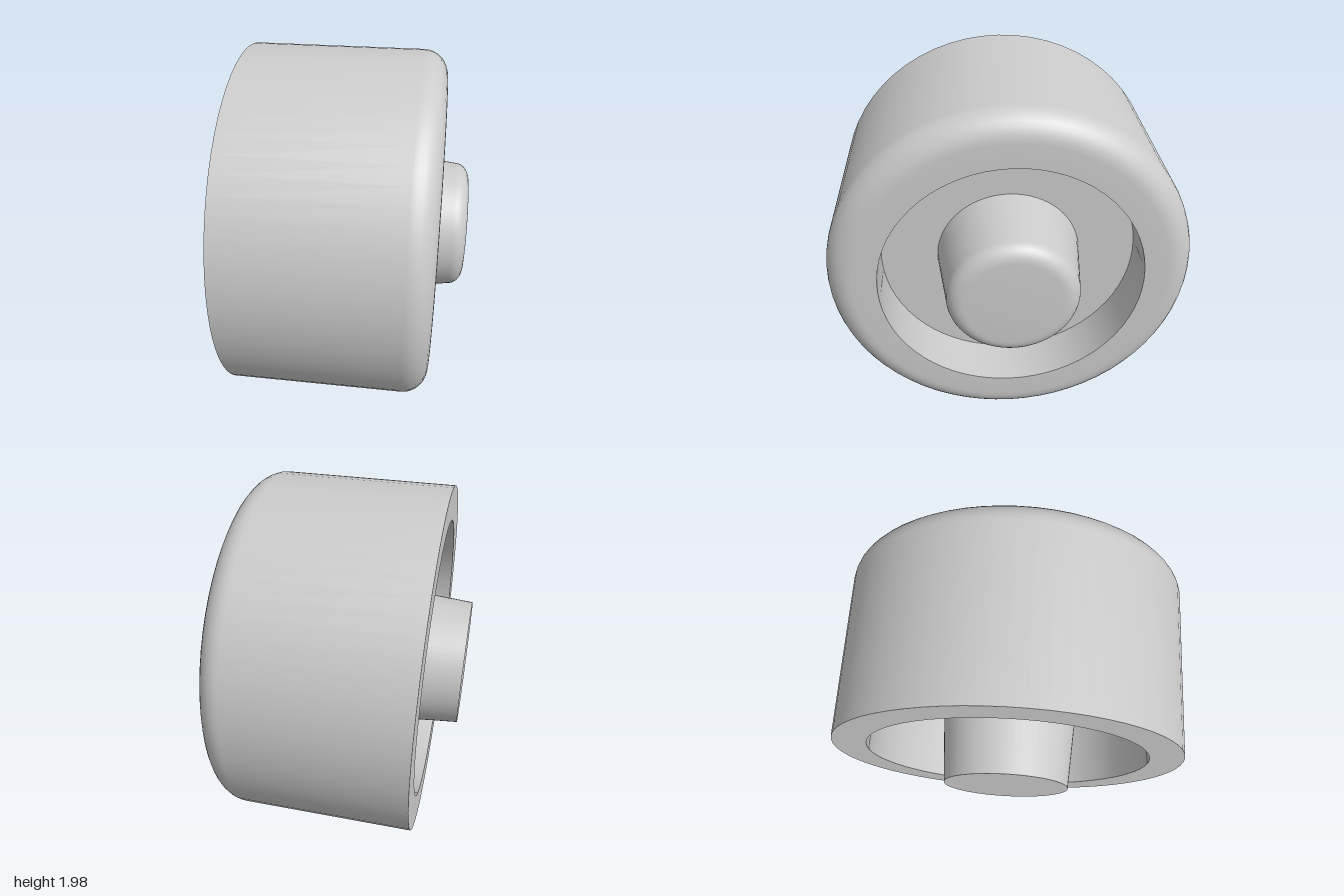
import * as THREE from 'three';
import { toCreasedNormals } from 'three/addons/utils/BufferGeometryUtils.js';

const SEGMENTS = 64;

// Quarter-round edge from (r, x) to (r - dr, x + dx), as profile points
function fillet(r, x, dr, dx, steps = 8) {
  const pts = [];
  for (let i = 0; i <= steps; i++) {
    const a = (i / steps) * Math.PI / 2;
    pts.push([r - dr * (1 - Math.cos(a)), x + dx * Math.sin(a)]);
  }
  return pts;
}

// Revolve a profile of [radius, x] points about the x axis
function revolve(name, profile, material) {
  const points = profile.map(([r, x]) => new THREE.Vector2(r, x));
  const lathe = new THREE.LatheGeometry(points, SEGMENTS);
  lathe.rotateZ(-Math.PI / 2);
  const mesh = new THREE.Mesh(toCreasedNormals(lathe, 0.6), material);
  mesh.name = name;
  return mesh;
}

export function createModel() {
  const group = new THREE.Group();
  group.name = 'wheel';
  const material = new THREE.MeshStandardMaterial({ color: 0xcccccc });

  const leftFloor = -0.08;
  const rightFloor = 0.27;

  // Tread with a rounded right edge, and the walls of both recesses
  group.add(revolve('rim', [
    [0.80, leftFloor], [0.80, -0.54], [0.99, -0.54],
    ...fillet(0.99, 0.41, 0.145, 0.14),
    [0.715, 0.55], [0.715, rightFloor],
  ], material));

  // Floors of the two recesses
  group.add(revolve('leftWeb', [[0.40, leftFloor], [0.80, leftFloor]], material));
  group.add(revolve('rightWeb', [[0.715, rightFloor], [0.40, rightFloor]], material));

  // Tapered bosses, the right one with a rounded end
  group.add(revolve('leftHub', [[0, -0.71], [0.35, -0.71], [0.40, leftFloor]], material));
  group.add(revolve('rightHub', [
    [0.40, rightFloor], ...fillet(0.355, 0.63, 0.09, 0.08), [0, 0.71],
  ], material));

  group.position.y = 1;
  return group;
}
